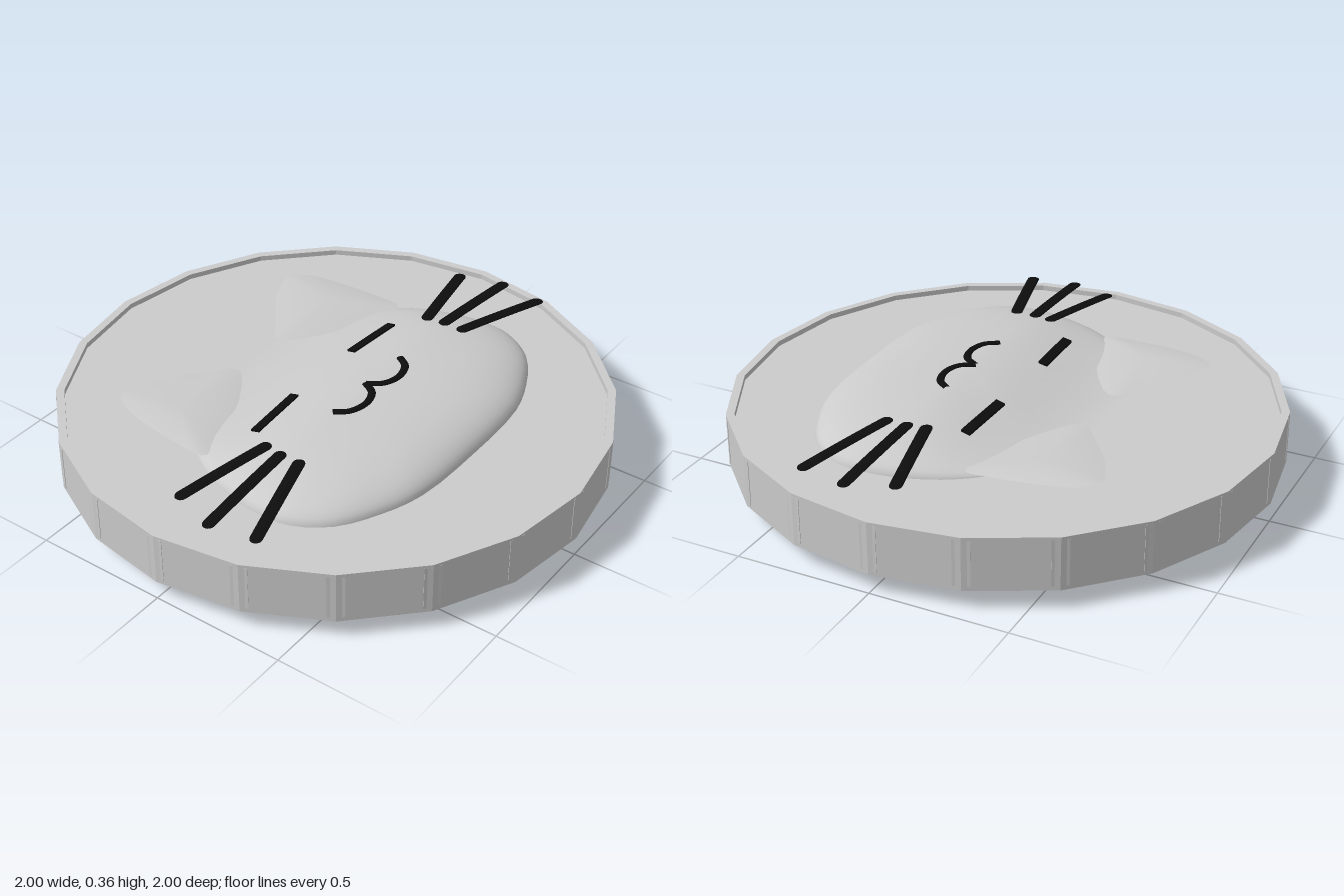
import * as THREE from 'three';

const grey = new THREE.MeshStandardMaterial({ color: 0xcccccc, side: THREE.DoubleSide });
const facet = new THREE.MeshStandardMaterial({ color: 0xcccccc, flatShading: true });
const padGrey = new THREE.MeshStandardMaterial({ color: 0x888888, side: THREE.DoubleSide });
const black = new THREE.MeshStandardMaterial({ color: 0x0d0d0d });

function add(parent, name, geometry, material) {
  const mesh = new THREE.Mesh(geometry, material);
  mesh.name = name;
  parent.add(mesh);
  return mesh;
}

// Move every vertex's y by a rule of its x and z
function lift(geometry, rule) {
  const p = geometry.attributes.position;
  for (let i = 0; i < p.count; i++) p.setY(i, p.getY(i) + rule(p.getX(i), p.getZ(i)));
  geometry.computeVertexNormals();
  return geometry;
}

// Dome from shrinking rings of a closed [x, z] outline (counterclockwise from above)
function dome(outline, cx, cz, heightAt, around = 72, rings = 16) {
  const curve = new THREE.CatmullRomCurve3(outline.map(([x, z]) => new THREE.Vector3(x, 0, z)), true);
  const rim = curve.getPoints(around).slice(0, around);
  const pos = [cx, heightAt(0, 0, cz), cz];
  const index = [];
  for (let r = 1; r <= rings; r++) {
    const s = Math.sin((r / rings) * Math.PI / 2);
    rim.forEach((p, i) => {
      const dx = p.x - cx, dz = p.z - cz;
      pos.push(cx + dx * s, heightAt(s, dz / Math.hypot(dx, dz), cz + dz * s), cz + dz * s);
      const j = (i + 1) % around, a = 1 + (r - 1) * around, b = a - around;
      if (r === 1) index.push(0, a + i, a + j);
      else index.push(b + i, a + i, a + j, b + i, a + j, b + j);
    });
  }
  const g = new THREE.BufferGeometry();
  g.setAttribute('position', new THREE.Float32BufferAttribute(pos, 3));
  g.setIndex(index);
  g.computeVertexNormals();
  return g;
}

// Shallow ellipsoid cap hanging below the coin's lower face
function pawPad(parent, name, x, z, rx, rz, yLow) {
  const yFace = 0.088, theta = 0.95;
  const g = new THREE.SphereGeometry(1, 32, 10, 0, Math.PI * 2, Math.PI - theta, theta);
  const ry = (yFace - yLow) / (1 - Math.cos(theta));
  g.scale(rx / Math.sin(theta), ry, rz / Math.sin(theta));
  g.translate(x, yLow + ry, z);
  add(parent, name, g, padGrey);
}

export function createModel() {
  const model = new THREE.Group();
  model.name = 'catCoin';

  // Twenty-sided coin, recessed on both faces
  const profile = [[0, 0.085], [0.97, 0.085], [0.97, 0.07], [1, 0.07], [1, 0.265], [0.97, 0.265], [0.97, 0.245], [0, 0.245]];
  add(model, 'coin', new THREE.LatheGeometry(profile.map(([x, y]) => new THREE.Vector2(x, y)), 20), facet);

  // Ridges set into the corners of the edge
  const ridges = new THREE.Group();
  ridges.name = 'edgeRidges';
  model.add(ridges);
  for (let i = 0; i < 20; i++) {
    const g = new THREE.BoxGeometry(0.06, 0.17, 0.02);
    g.translate(0, 0.17, 0.987).rotateY(i * Math.PI / 10);
    add(ridges, 'ridge', g, facet);
  }

  // Head: steep at the chin, sloping gently to the back
  const half = [[0.3, 0.57], [0.46, 0.515], [0.6, 0.43], [0.68, 0.31], [0.695, 0.2], [0.675, 0.06],
    [0.63, -0.07], [0.56, -0.18], [0.45, -0.29], [0.32, -0.355], [0.16, -0.378]];
  const headOutline = [[0, 0.585], ...half, [0, -0.382], ...half.map(([x, z]) => [-x, z]).reverse()];
  const head = add(model, 'head', dome(headOutline, 0, 0.16, (s, nz) => {
    const w = THREE.MathUtils.smoothstep(-nz, 0, 1);
    const front = Math.sqrt(1 - s ** 3), back = 0.1 + 0.9 * (1 + Math.cos(Math.PI * s)) / 2;
    return 0.245 + 0.105 * THREE.MathUtils.lerp(front, back, w);
  }), grey);

  // Ears: thin domed shells rising towards the tips
  const earOutline = [[0.58, -0.13], [0.585, -0.25], [0.57, -0.4], [0.54, -0.52], [0.49, -0.58], [0.42, -0.565],
    [0.32, -0.515], [0.2, -0.425], [0.12, -0.35], [0.25, -0.24], [0.42, -0.17]];
  const earRim = (z) => 0.272 - (z + 0.13) * 0.04;
  for (const side of [1, -1]) {
    const outline = earOutline.map(([x, z]) => [side * x, z]);
    if (side < 0) outline.reverse();
    const name = side > 0 ? 'leftEar' : 'rightEar';
    add(model, name, dome(outline, side * 0.44, -0.35, (s, nz, z) => earRim(z) + 0.014 * (1 - s * s), 48, 8), grey);
    add(model, name + 'Underside', dome(outline, side * 0.44, -0.35, (s, nz, z) => earRim(z) - 0.003 * (1 - s), 48, 3), grey);
  }

  // Height of the head's surface, to lay the face on it
  head.updateMatrixWorld();
  const ray = new THREE.Raycaster();
  const down = new THREE.Vector3(0, -1, 0);
  const surface = (x, z) => {
    ray.set(new THREE.Vector3(x, 1, z), down);
    const hit = ray.intersectObject(head)[0];
    return hit ? hit.point.y : 0.3;
  };

  // Closed eyes
  for (const side of [1, -1]) {
    const g = new THREE.BoxGeometry(0.24, 0.012, 0.034, 8, 1, 1);
    g.rotateY(side * -0.05).translate(side * 0.29, 0, -0.05);
    add(model, side > 0 ? 'leftEye' : 'rightEye', lift(g, (x, z) => surface(x, z) + 0.002), black);
  }

  // Mouth of two curves meeting in the middle
  for (const side of [1, -1]) {
    const path = [[0, 0.13], [0.035, 0.18], [0.1, 0.2], [0.17, 0.18], [0.205, 0.135]];
    const curve = new THREE.CatmullRomCurve3(path.map(([x, z]) => new THREE.Vector3(side * x, 0, z)));
    const g = new THREE.TubeGeometry(curve, 24, 0.014, 8);
    g.scale(1, 0.5, 1);
    add(model, side > 0 ? 'mouthLeft' : 'mouthRight', lift(g, (x, z) => surface(x, z)), black);
  }

  // Flat, drooping whiskers
  const whiskers = [[0.48, 0.065, 0.845, -0.018], [0.49, 0.132, 0.9, 0.145], [0.49, 0.208, 0.87, 0.317]];
  for (const side of [1, -1]) {
    for (const [x0, z0, x1, z1] of whiskers) {
      const g = new THREE.CapsuleGeometry(0.023, Math.hypot(x1 - x0, z1 - z0) - 0.02, 4, 10, 8);
      g.rotateZ(Math.PI / 2).scale(1, 0.18, 1).rotateY(-side * Math.atan2(z1 - z0, x1 - x0));
      g.translate(side * (x0 + x1) / 2, 0, (z0 + z1) / 2);
      add(model, side > 0 ? 'leftWhisker' : 'rightWhisker', lift(g, (x) => 0.354 - 0.052 * x * x), black);
    }
  }

  // Paw print on the underside
  pawPad(model, 'pawPad', 0, 0.22, 0.7, 0.55, 0);
  for (const side of [1, -1]) {
    pawPad(model, 'outerToe', side * 0.515, -0.41, 0.16, 0.16, 0.055);
    pawPad(model, 'innerToe', side * 0.19, -0.65, 0.16, 0.16, 0.055);
  }
  return model;
}
